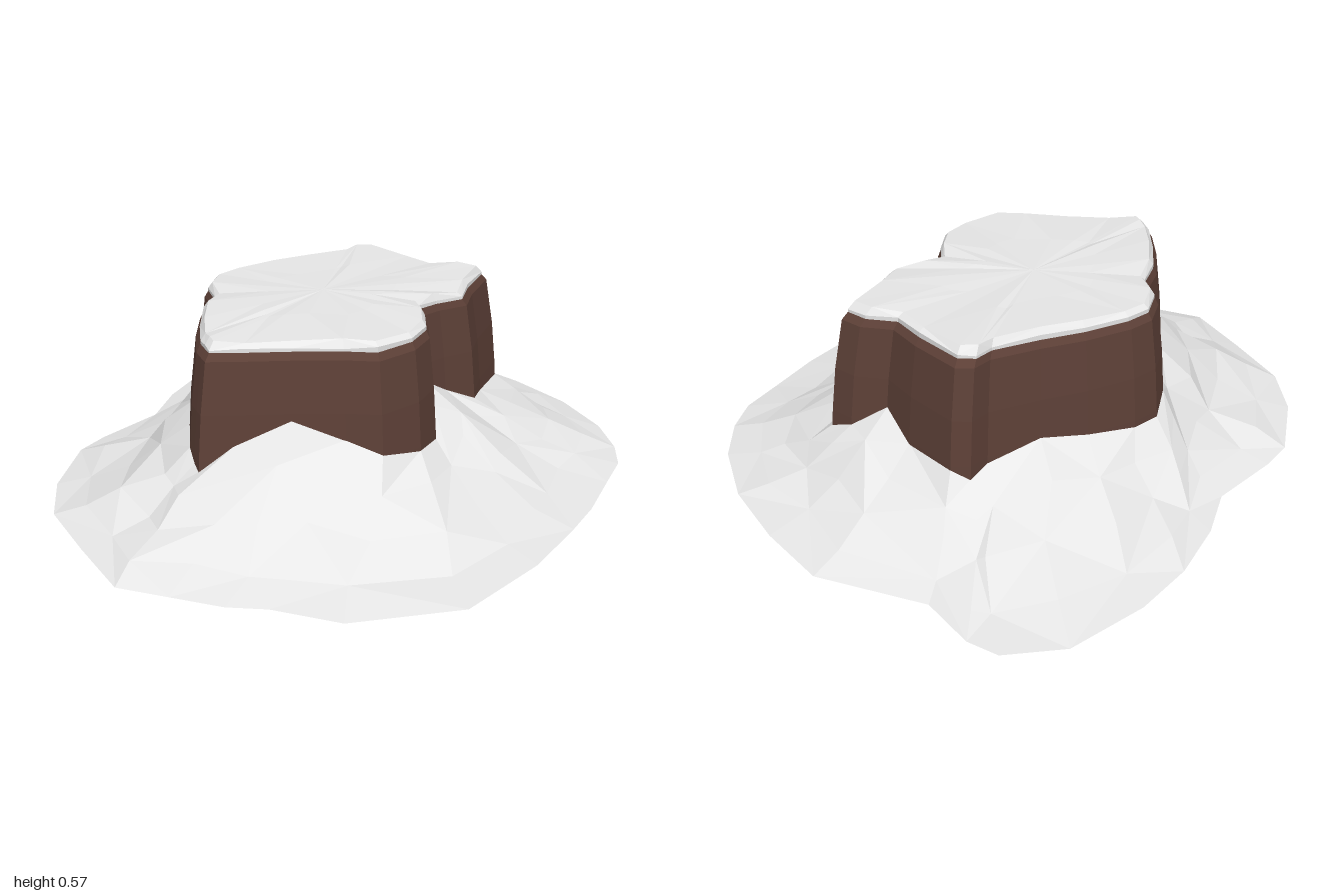
import * as THREE from 'three';

const CENTRE = [-0.08, -0.02];

// Rock outline near its foot, counter-clockwise from the front: x, z, height of the snow against it
const ROCK = [
  [-0.15, 0.61, 0.19], [-0.06, 0.56, 0.27], [0.08, 0.475, 0.34], [0.22, 0.40, 0.28], [0.32, 0.36, 0.24],
  [0.375, 0.22, 0.21], [0.37, 0.10, 0.20], [0.32, 0.00, 0.26], [0.26, -0.08, 0.30], [0.29, -0.16, 0.25],
  [0.35, -0.25, 0.20], [0.32, -0.37, 0.18], [0.30, -0.55, 0.17], [0.22, -0.56, 0.20], [0.12, -0.52, 0.27],
  [0.00, -0.57, 0.21], [-0.18, -0.62, 0.21], [-0.23, -0.59, 0.18], [-0.24, -0.52, 0.20], [-0.33, -0.38, 0.24],
  [-0.42, -0.26, 0.22], [-0.50, -0.12, 0.20], [-0.525, -0.03, 0.20], [-0.49, 0.08, 0.23], [-0.41, 0.16, 0.26],
  [-0.38, 0.28, 0.25], [-0.30, 0.43, 0.24], [-0.22, 0.55, 0.23], [-0.18, 0.585, 0.20],
];

// Outer edge of the snow drift, one point for each rock point
const EDGE = [
  [-0.18, 1.00], [-0.02, 0.975], [0.14, 0.95], [0.25, 0.905], [0.46, 0.875],
  [0.72, 0.66], [0.80, 0.35], [0.82, 0.10], [0.825, -0.05], [0.81, -0.25],
  [0.80, -0.40], [0.75, -0.52], [0.65, -0.66], [0.47, -0.81], [0.25, -0.92],
  [0.02, -1.00], [-0.32, -0.93], [-0.49, -1.00], [-0.59, -1.00], [-0.73, -0.88],
  [-0.81, -0.63], [-0.83, -0.43], [-0.81, -0.22], [-0.76, -0.04], [-0.805, 0.20],
  [-0.81, 0.32], [-0.72, 0.56], [-0.60, 0.73], [-0.39, 0.87],
];

function makeNoise(seed) {
  return (amount) => {
    seed = (seed * 16807) % 2147483647;
    return (seed / 2147483647 - 0.5) * 2 * amount;
  };
}

// Rock outline shrunk towards the centre; y is a number or a rule for each point
function ring(scale, y) {
  return ROCK.map((p, i) => [
    CENTRE[0] + (p[0] - CENTRE[0]) * scale,
    typeof y === 'function' ? y(p, i) : y,
    CENTRE[1] + (p[1] - CENTRE[1]) * scale,
  ]);
}

// Faceted skin over rings listed from the bottom up, closed by an optional apex
function loft(rings, apex) {
  const out = [];
  const n = rings[0].length;
  const tri = (a, b, c) => out.push(...a, ...b, ...c);
  for (let r = 0; r + 1 < rings.length; r++) {
    for (let i = 0; i < n; i++) {
      const j = (i + 1) % n;
      const [a, b, c, d] = [rings[r][i], rings[r][j], rings[r + 1][j], rings[r + 1][i]];
      if ((i + r) % 2) { tri(a, b, c); tri(a, c, d); } else { tri(a, b, d); tri(b, c, d); }
    }
  }
  if (apex) {
    const top = rings[rings.length - 1];
    for (let i = 0; i < n; i++) tri(top[i], top[(i + 1) % n], apex);
  }
  const geometry = new THREE.BufferGeometry();
  geometry.setAttribute('position', new THREE.Float32BufferAttribute(out, 3));
  geometry.computeVertexNormals();
  return geometry;
}

export function createModel() {
  const group = new THREE.Group();
  const snow = new THREE.MeshStandardMaterial({ color: 0xeeeeee, side: THREE.DoubleSide });
  snow.name = 'snow white';
  const brown = new THREE.MeshStandardMaterial({ color: 0x5d4037, side: THREE.DoubleSide });
  brown.name = 'rock brown';

  const add = (name, geometry, material) => {
    const mesh = new THREE.Mesh(geometry, material);
    mesh.name = name;
    group.add(mesh);
  };

  // Steep rock wall, open below, with a bevelled rim
  add('rockWall', loft([
    ring(1.015, 0.1),
    ring(1.0, 0.22),
    ring(0.975, 0.36),
    ring(0.93, 0.515),
    ring(0.895, 0.54),
  ]), brown);

  // Thin uneven snow cap
  const capNoise = makeNoise(11);
  add('snowCap', loft([
    ring(0.9, 0.532),
    ring(0.9, () => 0.549 + capNoise(0.006)),
    ring(0.865, () => 0.565 + capNoise(0.006)),
    ring(0.45, () => 0.568 + capNoise(0.004)),
  ], [CENTRE[0], 0.57, CENTRE[1]]), snow);

  // Snow drift sweeping down from the wall to the ground
  const noise = makeNoise(29);
  const drift = [1, 0.74, 0.46, 0.2, 0].map((t) => ROCK.map((p, i) => {
    const s = 1.0 - Math.max(0, p[2] - 0.2) * 0.17;
    const x = CENTRE[0] + (p[0] - CENTRE[0]) * s;
    const z = CENTRE[1] + (p[1] - CENTRE[1]) * s;
    const rough = t > 0 && t < 1 ? 1 : 0;
    return [
      x + (EDGE[i][0] - x) * t + rough * noise(0.022),
      p[2] * Math.pow(1 - t, 1.6) + rough * noise(0.014),
      z + (EDGE[i][1] - z) * t + rough * noise(0.022),
    ];
  }));
  // The drift carries on as a mound hidden inside the wall
  drift.push(ring(0.82, (p) => p[2] + 0.1), ring(0.45, () => 0.44 + noise(0.02)));
  add('snowDrift', loft(drift, [CENTRE[0], 0.47, CENTRE[1]]), snow);

  return group;
}
